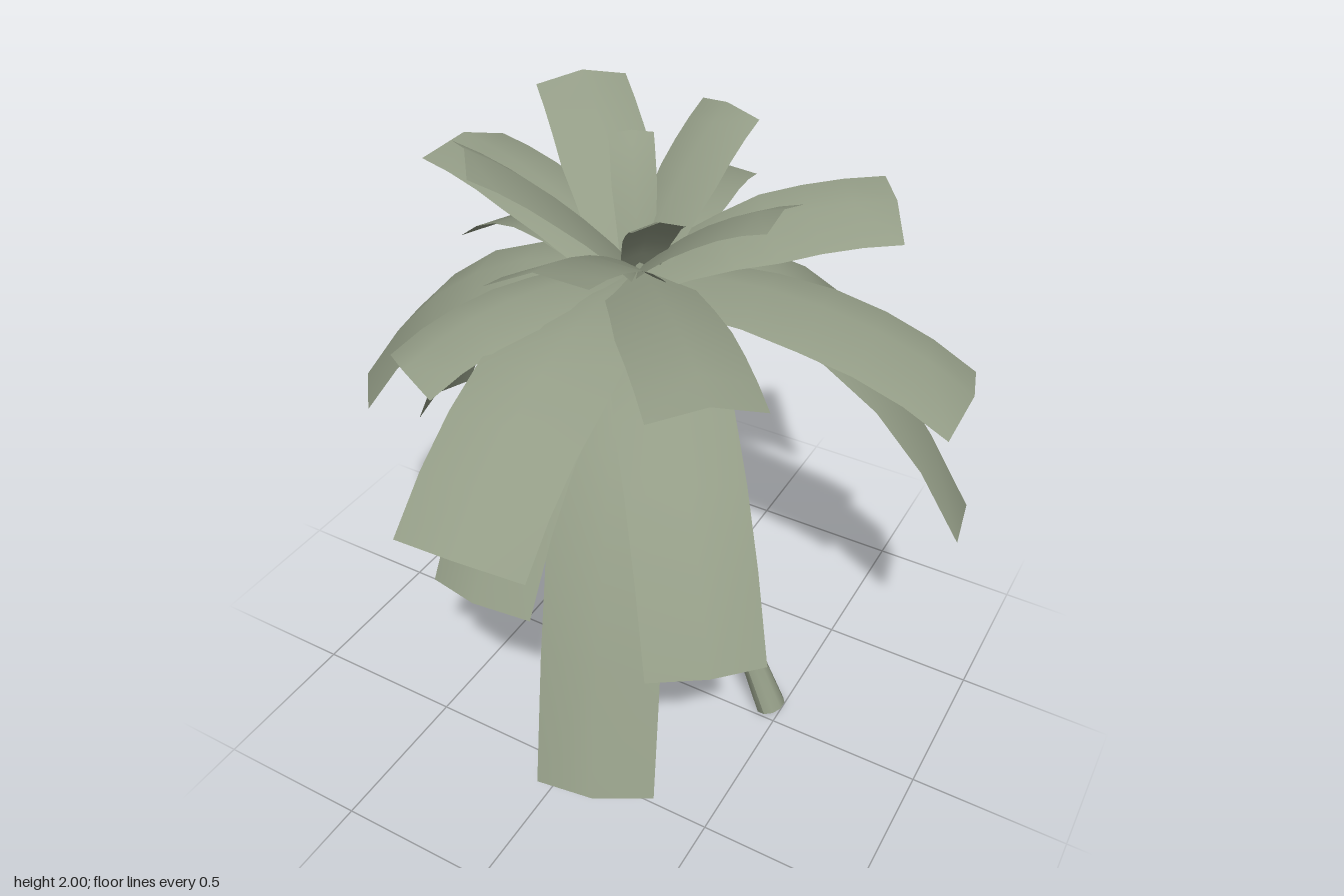
import * as THREE from 'three';

const CROWN = new THREE.Vector3(-0.04, 1.58, -0.03);
const UP = new THREE.Vector3(0, 1, 0);

// A folded strip swept along a curve: two edges hang below a centre ridge, the blade may roll
function leafGeometry(start, control, tip, baseWidth, tipWidth, fold, roll = 0, segments = 6) {
  const curve = new THREE.QuadraticBezierCurve3(start, control, tip);
  const out = new THREE.Vector3(tip.x - start.x, 0, tip.z - start.z).normalize();
  const flatSide = new THREE.Vector3().crossVectors(out, UP);
  const positions = [], index = [];
  for (let i = 0; i <= segments; i++) {
    const t = i / segments;
    const p = curve.getPoint(t);
    const tangent = curve.getTangent(t);
    const side = flatSide.clone().applyAxisAngle(tangent, roll * Math.min(1, t * 2));
    const normal = new THREE.Vector3().crossVectors(side, tangent).normalize();
    const width = THREE.MathUtils.lerp(baseWidth, tipWidth, Math.min(1, t * 2));
    for (const k of [-1, 0, 1]) {
      const v = p.clone().addScaledVector(side, k * width / 2);
      v.addScaledVector(normal, -Math.abs(k) * width * fold);
      positions.push(v.x, v.y, v.z);
    }
    if (i < segments) for (const k of [0, 1]) {
      const a = i * 3 + k;
      index.push(a, a + 1, a + 4, a, a + 4, a + 3);
    }
  }
  const g = new THREE.BufferGeometry();
  g.setAttribute('position', new THREE.Float32BufferAttribute(positions, 3));
  g.setIndex(index);
  g.computeVertexNormals();
  return g;
}

// Tapered open tube bent along a leaning curve
function trunkGeometry() {
  const curve = new THREE.CatmullRomCurve3([
    [0.465, 0.015, -0.05], [0.275, 0.47, -0.045], [0.125, 0.9, -0.04],
    [0.015, 1.3, -0.033], [-0.04, 1.61, -0.03],
  ].map(p => new THREE.Vector3(...p)));
  const g = new THREE.CylinderGeometry(1, 1, 1, 10, 14, true);
  const pos = g.attributes.position;
  for (let i = 0; i < pos.count; i++) {
    const t = pos.getY(i) + 0.5;
    const radius = 0.018 + 0.02 * (1 - t) + 0.013 * Math.pow(1 - t, 8);
    const turn = new THREE.Quaternion().setFromUnitVectors(UP, curve.getTangent(t));
    const v = new THREE.Vector3(pos.getX(i) * radius, 0, pos.getZ(i) * radius);
    v.applyQuaternion(turn).add(curve.getPoint(t));
    pos.setXYZ(i, v.x, Math.max(0, v.y), v.z);
  }
  g.computeVertexNormals();
  return g;
}

export function createModel() {
  const material = (name, color) => {
    const m = new THREE.MeshStandardMaterial({ color, side: THREE.DoubleSide });
    m.name = name;
    return m;
  };
  const green = material('palm green', 0x939c86);
  const orange = material('dry orange', 0xb9795a);
  const gold = material('dry gold', 0xa38146);

  const model = new THREE.Group();
  model.name = 'palmTree';
  const add = (name, geometry, mat) => {
    const mesh = new THREE.Mesh(geometry, mat);
    mesh.name = name;
    model.add(mesh);
  };

  add('trunk', trunkGeometry(), green);

  // Crown fronds: tip x, y, z, width and optional roll
  const fronds = [
    [-0.10, 0.88, -0.97, 0.30], [-0.15, 1.61, -0.72, 0.28, -0.12], [0.42, 1.21, -0.67, 0.27],
    [0.56, 1.76, -0.45, 0.28, 0.3], [0.91, 0.80, -0.44, 0.33], [0.94, 1.40, -0.15, 0.36],
    [0.41, 1.89, 0.00, 0.20], [0.62, 0.97, 0.76, 0.32], [0.50, 1.65, 0.57, 0.31, -0.05],
    [0.35, 0.50, 0.91, 0.33, 0.08], [0.01, 1.26, 0.97, 0.36, -0.2], [-0.06, 0.97, 0.83, 0.32],
    [0.00, 1.86, 0.55, 0.30, 0.2], [-0.39, 1.49, 0.62, 0.26], [-0.91, 1.07, 0.21, 0.30, -0.2],
    [-0.87, 0.84, -0.07, 0.27], [-0.75, 1.78, -0.19, 0.33, 0.08], [-0.74, 1.41, -0.34, 0.30, 0.25],
    [-0.44, 1.97, -0.39, 0.28], [-0.16, 1.91, -0.20, 0.13], [0.06, 1.98, -0.36, 0.22],
    [-0.37, 2.00, 0.30, 0.25], [0.14, 1.86, 0.17, 0.15],
  ];
  for (const [x, y, z, width, roll] of fronds) {
    const tip = new THREE.Vector3(x, y, z);
    // High fronds rise towards the tip, low ones arch over and droop
    const control = CROWN.clone().lerp(tip, y < 1.7 ? 0.6 : 0.5);
    control.y = 1.67 + Math.max(0, y - 1.55) * 0.45;
    add('frond', leafGeometry(CROWN, control, tip, width * 0.75, width, 0.13, roll), green);
  }

  // Dry leaves hanging under the crown: tip x, y, z, top width, tip width and colour
  const dryLeaves = [
    [0.05, 0.85, 0.10, 0.07, 0.21, orange],
    [-0.12, 0.91, 0.07, 0.17, 0.19, gold],
    [0.02, 0.89, -0.13, 0.15, 0.20, gold],
  ];
  for (const [x, y, z, topWidth, width, mat] of dryLeaves) {
    const start = new THREE.Vector3(-0.04, 1.48, -0.03).lerp(new THREE.Vector3(x, 1.48, z), 0.2);
    const tip = new THREE.Vector3(x, y, z);
    const control = start.clone().lerp(tip, 0.55).setY(1.22);
    add('dryLeaf', leafGeometry(start, control, tip, topWidth, width, 0.13), mat);
  }
  return model;
}
